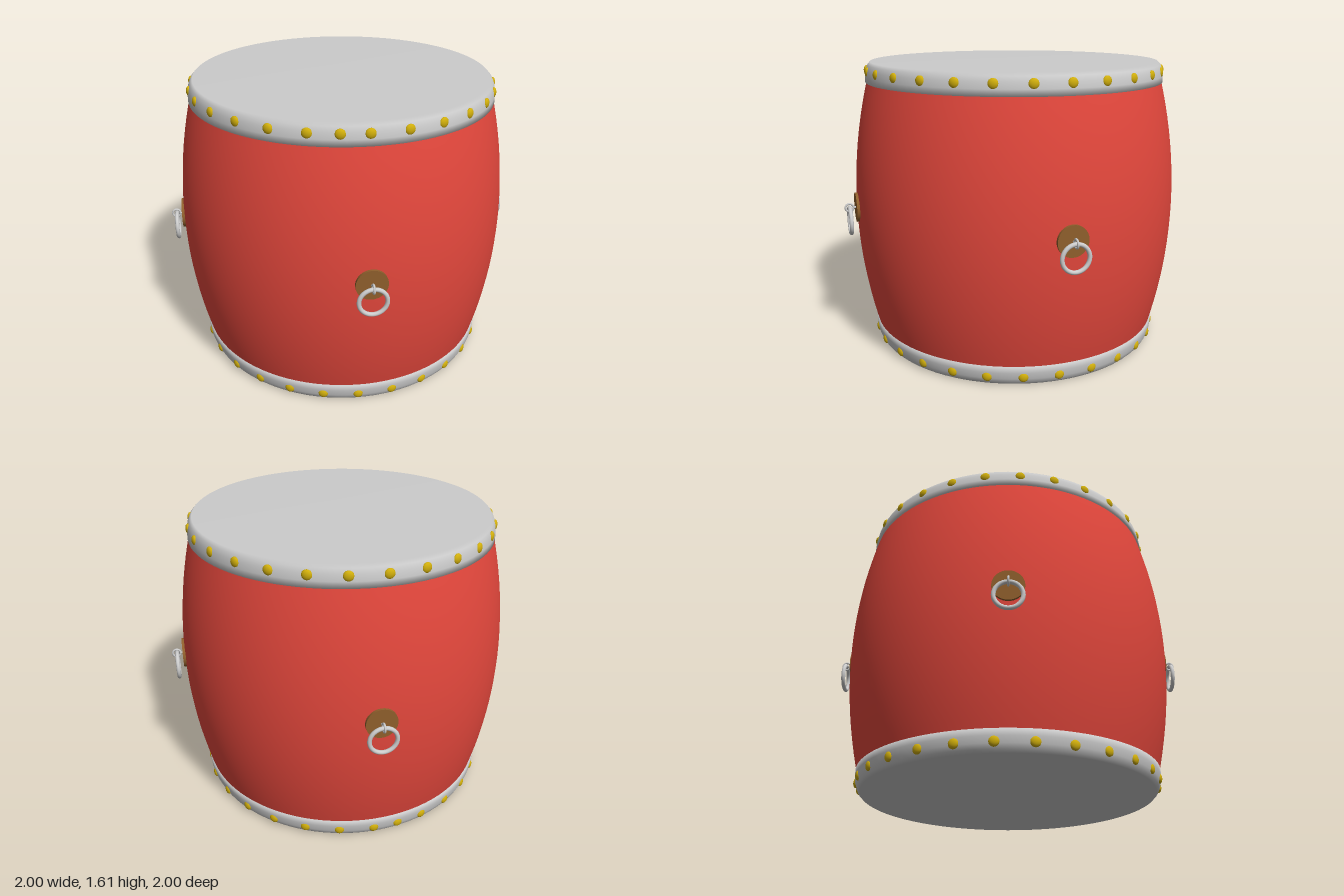
import * as THREE from 'three';

const mat = (color) => new THREE.MeshStandardMaterial({ color });
const H = 1.61, MID = H / 2;

function add(parent, name, geometry, material) {
  const mesh = new THREE.Mesh(geometry, material);
  mesh.name = name;
  parent.add(mesh);
  return mesh;
}

export function createModel() {
  const model = new THREE.Group();
  model.name = 'drum';
  const grey = mat(0xcccccc), red = mat(0xe3473c), gold = mat(0xd0ae0c), brown = mat(0x8f5f2c);

  // Bulging barrel shell
  const profile = [];
  for (let i = 0; i <= 20; i++) {
    const y = 0.08 + (i / 20) * (H - 0.16);
    profile.push(new THREE.Vector2(0.926 - 0.09 * ((y - MID) / 0.695) ** 2, y));
  }
  add(model, 'barrel', new THREE.LatheGeometry(profile, 96), red);

  // Drum head: flat skin folded over the rim, with a row of studs
  const skin = [[0.815, 0.695], [0.843, 0.695], [0.842, 0.73], [0.837, 0.765], [0.826, 0.79], [0.812, 0.805], [0, 0.805]]
    .map(([r, y]) => new THREE.Vector2(r, y));
  const skinGeo = new THREE.LatheGeometry(skin, 96);
  const studGeo = new THREE.SphereGeometry(0.027, 16, 12).scale(1, 1, 0.55);

  function head(name) {
    const group = new THREE.Group();
    group.name = name;
    group.position.y = MID;
    add(group, 'skin', skinGeo, grey);
    for (let i = 0; i < 28; i++) {
      const a = THREE.MathUtils.degToRad(i < 27 ? i * 13.07 : 350.4);
      const stud = add(group, 'stud', studGeo, gold);
      stud.position.set(Math.sin(a) * 0.834, 0.755, Math.cos(a) * 0.834);
      stud.rotation.y = a;
    }
    model.add(group);
    return group;
  }
  head('topHead');
  head('bottomHead').rotation.x = Math.PI;

  // Four handles: round plate, pin with eye, hanging ring
  const plateGeo = new THREE.CylinderGeometry(0.083, 0.083, 0.025, 40).rotateX(Math.PI / 2);
  const pinGeo = new THREE.CylinderGeometry(0.006, 0.006, 0.03, 10).rotateX(Math.PI / 2);
  const eyeGeo = new THREE.TorusGeometry(0.022, 0.006, 10, 28).rotateY(Math.PI / 2);
  const ringGeo = new THREE.TorusGeometry(0.072, 0.0115, 14, 48);
  for (let i = 0; i < 4; i++) {
    const handle = new THREE.Group();
    handle.name = 'handle';
    add(handle, 'plate', plateGeo, brown).position.set(0, 0.81, 0.925);
    add(handle, 'pin', pinGeo, grey).position.set(0, 0.81, 0.94);
    add(handle, 'eye', eyeGeo, grey).position.set(0, 0.81, 0.972);
    add(handle, 'ring', ringGeo, grey).position.set(0, 0.735, 0.971);
    handle.rotation.y = (i * Math.PI) / 2;
    model.add(handle);
  }
  return model;
}
